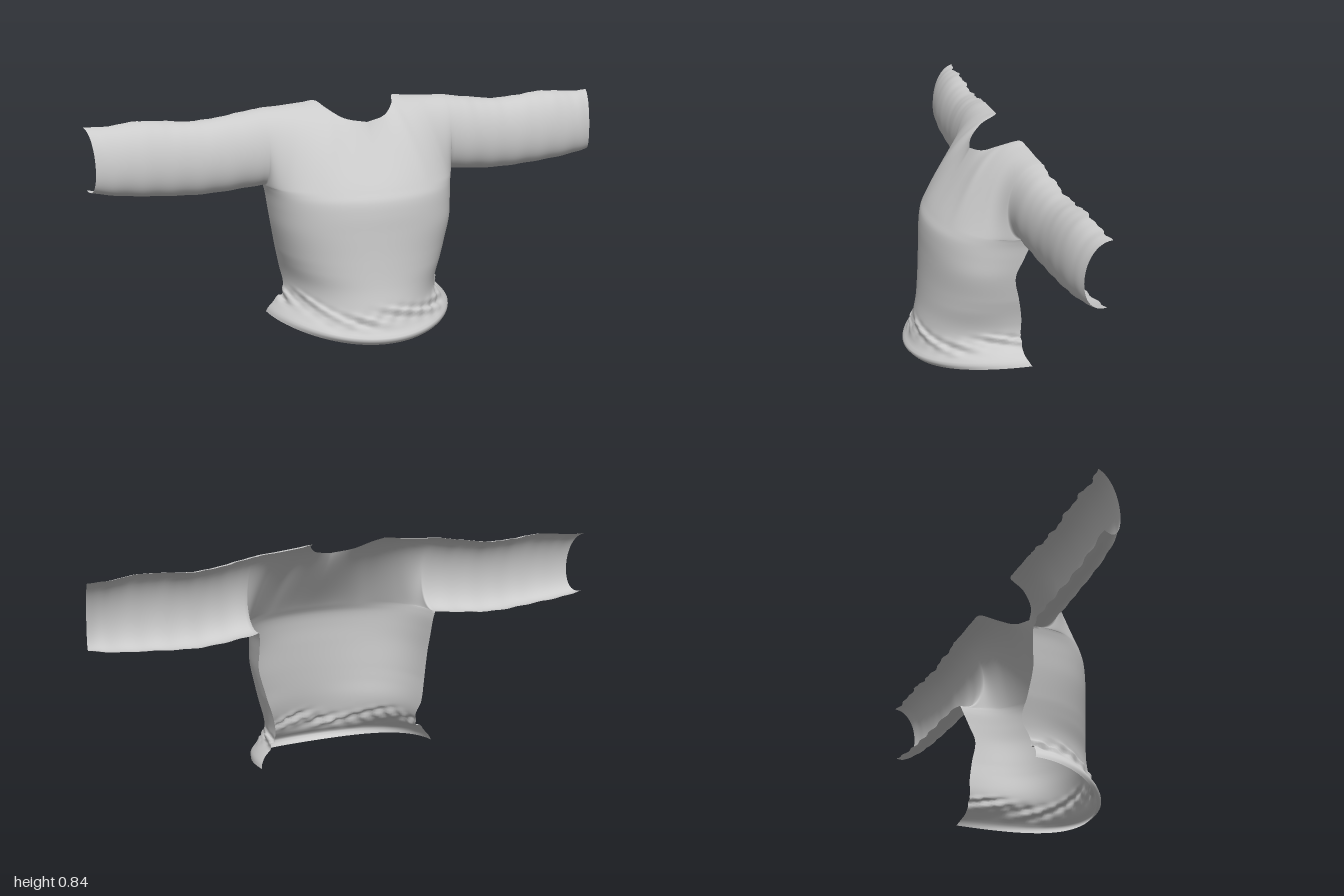
import * as THREE from 'three';
import { mergeVertices } from 'three/addons/utils/BufferGeometryUtils.js';

// Smooth lookup in a table of [key, value, value, ...] rows
function lookup(table, k) {
  const n = table.length - 1;
  k = Math.min(Math.max(k, table[0][0]), table[n][0]);
  let i = 0;
  while (i < n - 1 && k > table[i + 1][0]) i++;
  const p = table[i], q = table[i + 1], h = q[0] - p[0], t = (k - p[0]) / h;
  const slope = (j, c) => {
    const a = table[Math.max(j - 1, 0)], b = table[Math.min(j + 1, n)];
    return (b[c] - a[c]) / (b[0] - a[0]);
  };
  return p.slice(1).map((v, j) => {
    const c = j + 1, t2 = t * t, t3 = t2 * t;
    return (2 * t3 - 3 * t2 + 1) * v + (t3 - 2 * t2 + t) * h * slope(i, c)
      + (3 * t2 - 2 * t3) * q[c] + (t3 - t2) * h * slope(i + 1, c);
  });
}

// Torso: height, half width, front z, back edge z on the left, on the right
const TORSO = [
  [0, 0.357, 0.2, -0.17, -0.16],
  [0.02, 0.35, 0.22, -0.16, -0.155],
  [0.045, 0.332, 0.203, -0.148, -0.15],
  [0.08, 0.305, 0.19, -0.145, -0.15],
  [0.13, 0.29, 0.178, -0.145, -0.155],
  [0.2, 0.295, 0.165, -0.145, -0.185],
  [0.3, 0.315, 0.156, -0.13, -0.172],
  [0.4, 0.335, 0.151, -0.11, -0.16],
  [0.47, 0.345, 0.148, -0.135, -0.165],
  [0.52, 0.352, 0.14, -0.155, -0.168],
  [0.55, 0.36, 0.123, -0.165, -0.17],
];
const CHEST = 0.55, ARMPIT = 0.36;

// Chest and sleeves by distance from the middle: y, z of the top edge,
// then y, z of the two handles that shape the section below it
const UPPER = [
  [0, 0.778, -0.03, 0.71, 0.0, 0.605, 0.092],
  [0.08, 0.793, -0.06, 0.735, -0.005, 0.61, 0.085],
  [0.13, 0.825, -0.115, 0.79, -0.02, 0.62, 0.07],
  [0.15, 0.843, -0.168, 0.82, -0.03, 0.625, 0.062],
  [0.2, 0.838, -0.182, 0.835, -0.035, 0.63, 0.045],
  [0.3, 0.83, -0.187, 0.835, -0.045, 0.6, -0.005],
  [0.36, 0.827, -0.19, 0.83, -0.05, 0.535, -0.03],
  [0.45, 0.813, -0.193, 0.815, -0.055, 0.505, -0.04],
  [0.6, 0.795, -0.2, 0.8, -0.07, 0.49, -0.06],
  [0.8, 0.808, -0.205, 0.8, -0.08, 0.5, -0.07],
  [0.93, 0.797, -0.21, 0.785, -0.1, 0.52, -0.085],
  [1, 0.797, -0.22, 0.78, -0.115, 0.53, -0.105],
];

// Lower back edge of the sleeve
const UNDERARM = [
  [0.36, 0.55, -0.167], [0.42, 0.545, -0.185], [0.6, 0.533, -0.2],
  [0.8, 0.545, -0.2], [0.93, 0.558, -0.205], [1, 0.572, -0.205],
];

function torsoPoint(y, a) {
  const [w, front, backL, backR] = lookup(TORSO, y);
  const back = a > 0 ? backL : backR;
  const s = Math.sin(a), c = Math.max(Math.cos(a), 0);
  // flat front panel with steeper sides above the waist
  const boxy = 1 - 0.25 * THREE.MathUtils.smoothstep(y, 0.1, 0.25);
  // uneven gathered folds above the hem, fading upwards
  const band = Math.exp(-(((y - 0.088 - 0.015 * Math.sin(a * 5 + 1)) / 0.025) ** 2));
  const fold = band * (0.005 * Math.sin(a * 11 + y * 110) + 0.003 * Math.sin(a * 29 - y * 60)
    + 0.003 * Math.sin(a * 17 + y * 190 + 2));
  const lift = 0.055 * s * s * Math.max(0, 1 - y / 0.3);
  return new THREE.Vector3((w + fold) * s, y + lift + fold * 0.8,
    back + (front - back + fold) * c ** boxy);
}

// Column of the upper sheet from its top edge at topX down to the bottom point
function upperPoint(topX, t, bottom) {
  const u = 1 - t, d = Math.abs(bottom.x);
  const [ty, tz, y1, z1] = lookup(UPPER, Math.abs(topX));
  const [, , , , y2, z2] = lookup(UPPER, d);
  const bez = (a, b, c, e) => u * u * u * a + 3 * u * u * t * b + 3 * u * t * t * c + t * t * t * e;
  const ripple = d > ARMPIT ? 0.004 * Math.sin(topX * 47) + 0.003 * Math.sin(topX * 101) : 0;
  // the cuff opening is slightly hollow
  const cuff = d > 0.9 ? (d - 0.9) * 0.9 * t * u * Math.sign(topX) : 0;
  return new THREE.Vector3(
    bez(topX, topX, bottom.x, bottom.x) - cuff,
    bez(ty, y1, y2, bottom.y),
    bez(tz, z1, z2, bottom.z) + ripple * u ** 6);
}

// Adds a sheet of rows running downwards, columns running towards +x
function addSheet(columns, positions, indices) {
  const start = positions.length / 3, rows = columns[0].length;
  columns.forEach(col => col.forEach(p => positions.push(p.x, p.y, p.z)));
  for (let i = 0; i < columns.length - 1; i++) {
    for (let j = 0; j < rows - 1; j++) {
      const a = start + i * rows + j, b = a + rows;
      indices.push(a, a + 1, b + 1, a, b + 1, b);
    }
  }
}

export function createModel() {
  const group = new THREE.Group();
  group.name = 'sweaterFront';
  const positions = [], indices = [];
  const N = 96, SLEEVE = 44, UP = 28, DOWN = 60;

  const angles = Array.from({ length: N + 1 }, (_, i) => (i / N - 0.5) * Math.PI);

  // Torso below the chest line, open at the back
  addSheet(angles.map(a => Array.from({ length: DOWN + 1 }, (_, j) =>
    torsoPoint(CHEST * (1 - j / DOWN), a))), positions, indices);

  // Chest, shoulders and both sleeves in one continuous sheet;
  // columns fan out from the shoulder so the armpit stays soft
  const columns = angles.map(a => ({
    topX: ARMPIT * a / (Math.PI / 2), bottom: torsoPoint(CHEST, a),
  }));
  for (let i = 1; i <= SLEEVE; i++) {
    const x = ARMPIT + (1 - ARMPIT) * i / SLEEVE;
    const [y, z] = lookup(UNDERARM, x);
    const ripple = 0.004 * Math.sin(x * 60);
    columns.push({ topX: x, bottom: new THREE.Vector3(x, y, z + ripple) });
    columns.unshift({ topX: -x, bottom: new THREE.Vector3(-x, y, z - ripple) });
  }
  addSheet(columns.map(({ topX, bottom }) => Array.from({ length: UP + 1 }, (_, j) =>
    upperPoint(topX, j / UP, bottom))), positions, indices);

  // Weld the chest line so the cloth shades smoothly
  let geometry = new THREE.BufferGeometry();
  geometry.setAttribute('position', new THREE.Float32BufferAttribute(positions, 3));
  geometry.setIndex(indices);
  geometry = mergeVertices(geometry, 1e-5);
  geometry.computeVertexNormals();

  const cloth = new THREE.Mesh(geometry, new THREE.MeshStandardMaterial({
    color: 0xcccccc, side: THREE.DoubleSide,
  }));
  cloth.name = 'torsoAndSleeves';
  group.add(cloth);
  return group;
}
